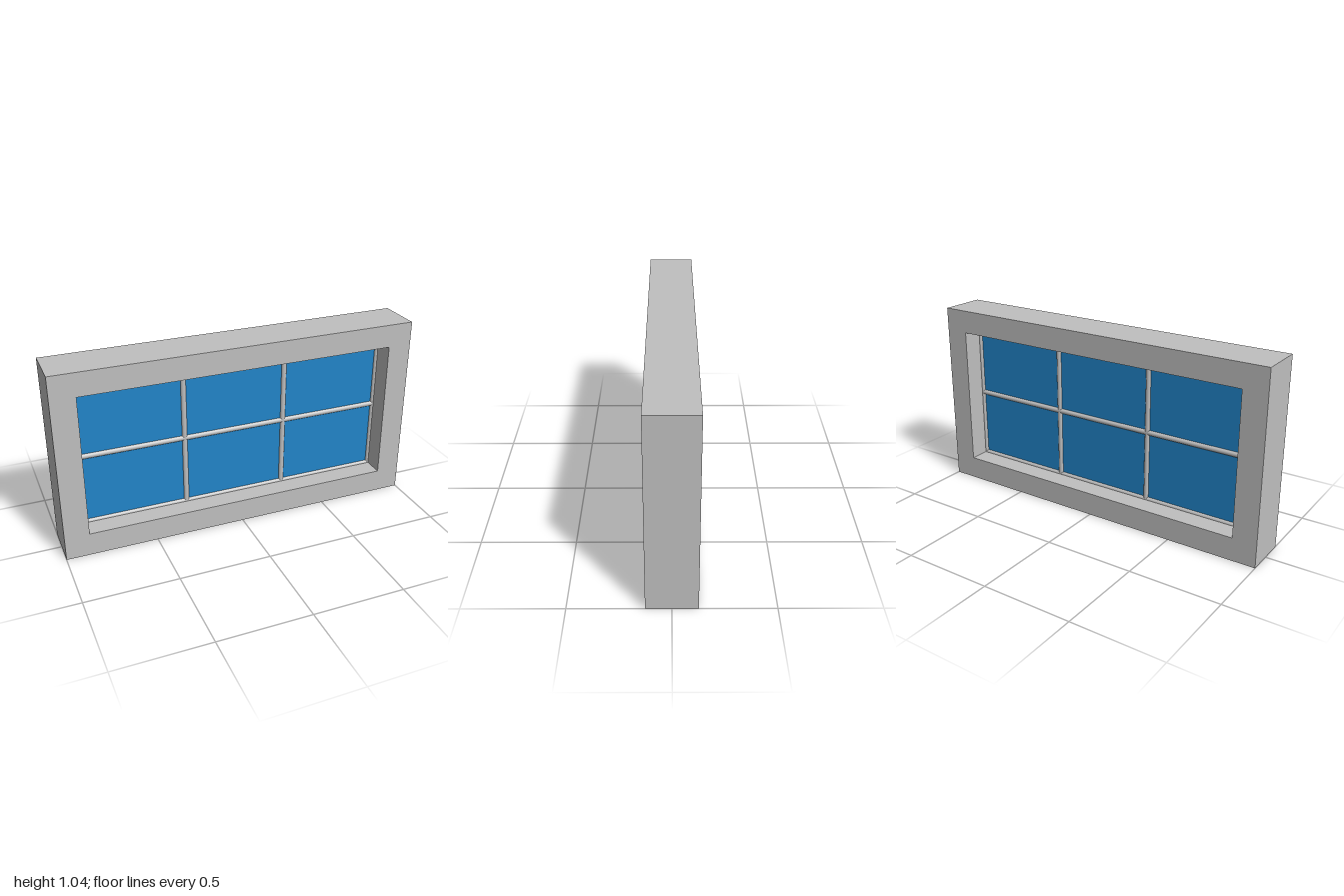
import * as THREE from 'three';

const HEIGHT = 1.043, DEPTH = 0.254, MID = HEIGHT / 2;
const INNER_X = 0.867, INNER_Y = 0.393; // half size of the opening
const BAR_RADIUS = 0.015;

function rectangle(path, halfW, halfH) {
  path.moveTo(-halfW, -halfH);
  path.lineTo(halfW, -halfH);
  path.lineTo(halfW, halfH);
  path.lineTo(-halfW, halfH);
  path.closePath();
  return path;
}

export function createModel() {
  const model = new THREE.Group();
  model.name = 'window';

  const frameGray = new THREE.MeshStandardMaterial({ color: 0xc0c0c0 });
  frameGray.name = 'frame gray';
  const glassBlue = new THREE.MeshStandardMaterial({ color: 0x2185ca });
  glassBlue.name = 'glass blue';

  const add = (name, geometry, material, x = 0, y = 0, z = 0) => {
    const mesh = new THREE.Mesh(geometry, material);
    mesh.name = name;
    mesh.position.set(x, MID + y, z);
    model.add(mesh);
    return mesh;
  };

  // Deep outer frame with a rectangular opening
  const outline = rectangle(new THREE.Shape(), 1, MID);
  outline.holes.push(rectangle(new THREE.Path(), INNER_X, INNER_Y));
  const frame = new THREE.ExtrudeGeometry(outline, { depth: DEPTH, bevelEnabled: false });
  add('outerFrame', frame, frameGray, 0, 0, -DEPTH / 2);

  // Glass sheet in the middle of the depth
  add('glass', new THREE.BoxGeometry(2 * INNER_X, 2 * INNER_Y, 0.006), glassBlue);

  // Round glazing bars; the outermost ones are half sunk into the frame
  const upright = new THREE.CylinderGeometry(BAR_RADIUS, BAR_RADIUS, 2 * INNER_Y, 16, 1, true);
  for (let i = 0; i < 4; i++) {
    add('verticalBar', upright, frameGray, INNER_X * (-1 + (2 * i) / 3));
  }
  const rail = new THREE.CylinderGeometry(BAR_RADIUS, BAR_RADIUS, 2 * INNER_X, 16, 1, true);
  rail.rotateZ(Math.PI / 2);
  for (const side of [-1, 0, 1]) {
    add('horizontalBar', rail, frameGray, 0, side * INNER_Y);
  }

  return model;
}
